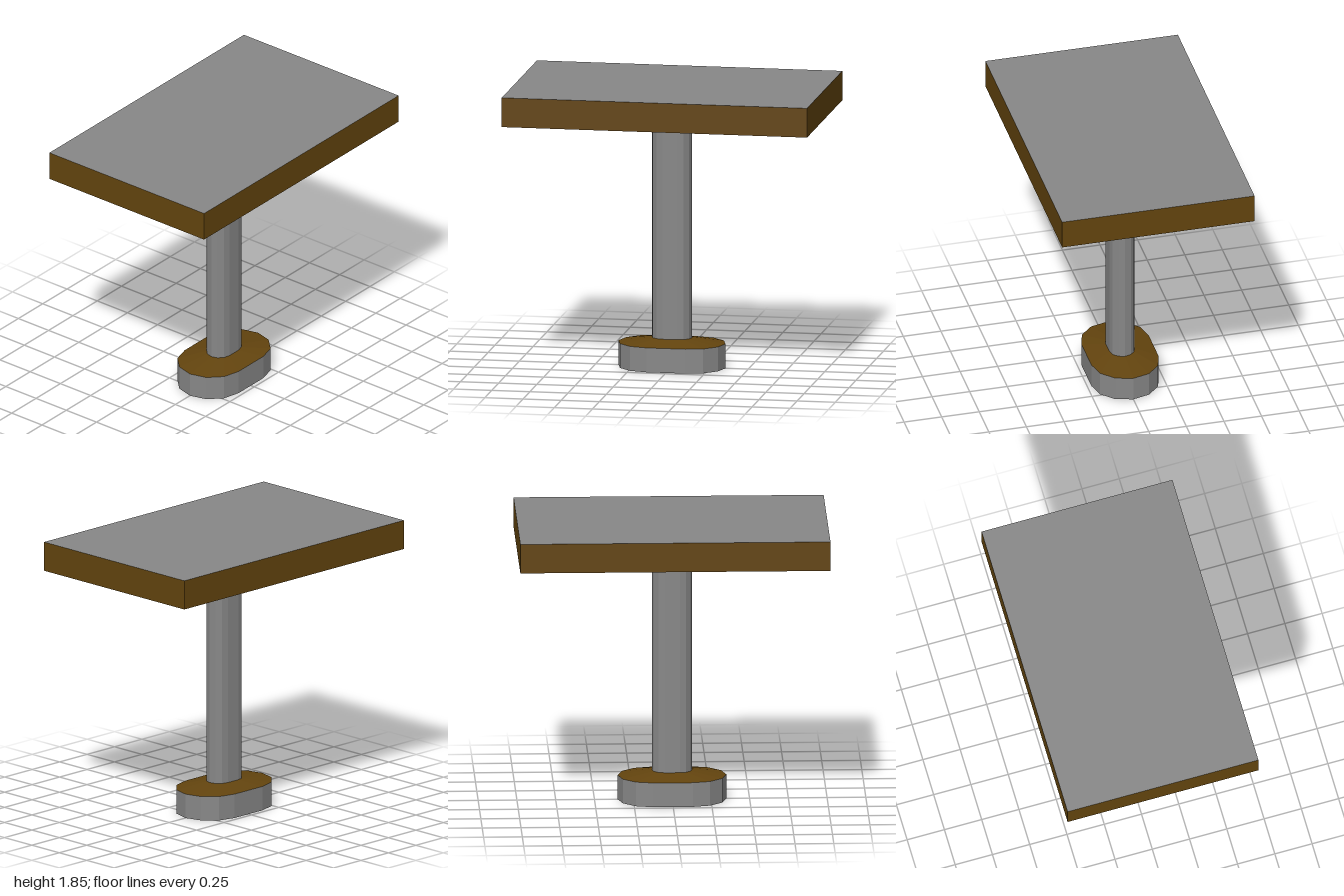
import * as THREE from 'three';

const gray = new THREE.MeshStandardMaterial({ color: 0x878787 });
gray.name = 'gray metal';
const brown = new THREE.MeshStandardMaterial({ color: 0x63440e });
brown.name = 'brown wood';
const grayBrown = new THREE.MeshStandardMaterial({ color: 0x74695a });
grayBrown.name = 'gray brown';
const greenGray = new THREE.MeshStandardMaterial({ color: 0x80857a });
greenGray.name = 'green gray';

const SIDES = 14; // two caps of six facets and two straight sides

// Faceted column with a stadium cross-section: a cylinder whose rims are moved apart in x
function stadiumColumn(name, rBottom, rTop, y0, y1, materials, open = false) {
  const geo = new THREE.CylinderGeometry(rTop, rBottom, y1 - y0, SIDES, 1, open);
  const pos = geo.attributes.position;
  for (let i = 0; i < pos.count; i++) {
    const x = pos.getX(i), z = pos.getZ(i), r = Math.hypot(x, z);
    if (r < 1e-6) continue;
    const turn = Math.atan2(x, z) / (2 * Math.PI);
    const k = (Math.round(turn * SIDES) + SIDES) % SIDES;
    const a = (k <= 6 ? k : k - 1) * Math.PI / 6;
    const shift = (k <= 6 ? 1 : -1) * r * 0.57;
    pos.setXYZ(i, shift + r * Math.sin(a), pos.getY(i), r * Math.cos(a));
  }
  const flat = geo.toNonIndexed();
  flat.computeVertexNormals();
  const mesh = new THREE.Mesh(flat, materials);
  mesh.name = name;
  mesh.position.y = (y0 + y1) / 2;
  return mesh;
}

// Thin downward-facing panel on the underside, corners given as [x, z]
function undersidePanel(name, corners, material) {
  const shape = new THREE.Shape(corners.map(([x, z]) => new THREE.Vector2(x, z)));
  const geo = new THREE.ShapeGeometry(shape);
  geo.rotateX(Math.PI / 2); // shape y becomes z, facing down
  const mesh = new THREE.Mesh(geo, material);
  mesh.name = name;
  mesh.position.y = 1.657;
  return mesh;
}

export function createModel() {
  const group = new THREE.Group();
  group.name = 'pedestalTable';

  // Foot, its sloped collar and the post; cylinder groups are side, top, bottom
  group.add(stadiumColumn('foot', 0.223, 0.223, 0, 0.16, [gray, brown, brown]));
  group.add(stadiumColumn('footCollar', 0.223, 0.083, 0.16, 0.193, brown, true));
  group.add(stadiumColumn('post', 0.083, 0.083, 0.193, 1.66, gray, true));

  // Table top: brown edges, gray faces
  const top = new THREE.Mesh(
    new THREE.BoxGeometry(2, 0.192, 1.28),
    [brown, brown, gray, gray, brown, brown]
  );
  top.name = 'tableTop';
  top.position.y = 1.756;
  group.add(top);

  // Tinted panels on the underside
  group.add(undersidePanel('undersideBrownPanel', [[1, 0.64], [0.7, -0.64], [1, -0.64]], brown));
  group.add(undersidePanel('undersideStrip', [[1, 0.64], [0.6, -0.64], [0.7, -0.64]], grayBrown));
  group.add(undersidePanel('undersideGreenPanel', [[-1, 0.64], [-1, -0.64], [-0.3, -0.64]], greenGray));

  return group;
}
